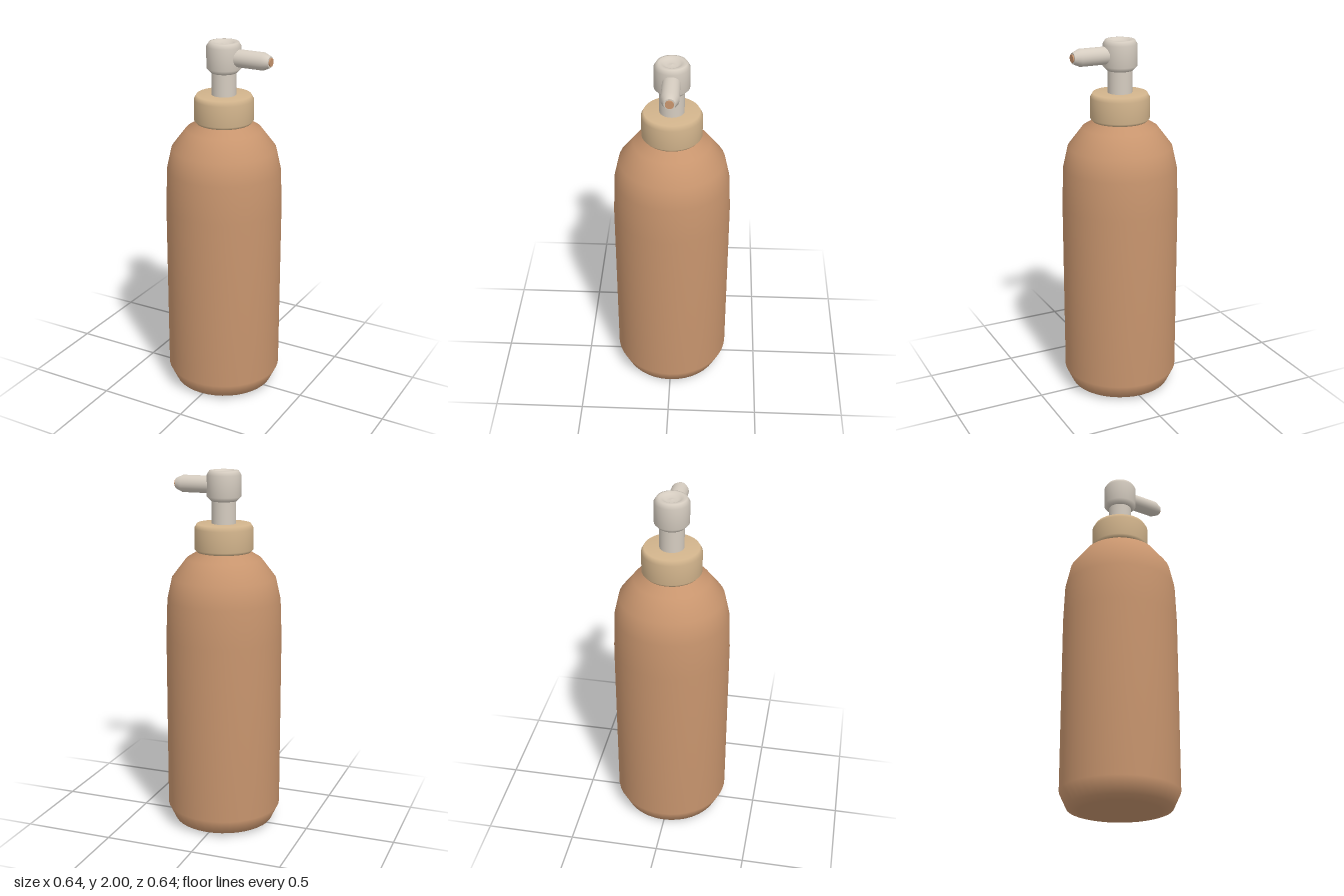
import * as THREE from 'three';

export function createModel() {
  const group = new THREE.Group();
  const mat = (name, color) => {
    const m = new THREE.MeshStandardMaterial({ color });
    m.name = name;
    return m;
  };
  const terracotta = mat('terracotta', 0xc8956e);
  const tan = mat('tan', 0xd2b48c);
  const ivory = mat('ivory', 0xd5ccc0);

  // Turned part from [radius, height] points, bottom to top
  const turned = (name, points, material, segments = 40) => {
    const profile = points.map(([r, y]) => new THREE.Vector2(r, y));
    const mesh = new THREE.Mesh(new THREE.LatheGeometry(profile, segments), material);
    mesh.name = name;
    group.add(mesh);
    return mesh;
  };

  // Bottle with rounded base and sloping shoulder
  turned('bottle', [
    [0, 0], [0.22, 0.004], [0.28, 0.02], [0.32, 0.105], [0.32, 1.09],
    [0.312, 1.3], [0.285, 1.42], [0.205, 1.525], [0.14, 1.565], [0.13, 1.6],
  ], terracotta);

  // Screw collar
  turned('collar', [
    [0.12, 1.562], [0.148, 1.562], [0.161, 1.577], [0.161, 1.69], [0.147, 1.715], [0, 1.715],
  ], tan);

  // Pump stem
  turned('stem', [[0.066, 1.7], [0.066, 1.85]], ivory, 32);

  // Pump head with a small finger dish on top
  turned('pumpHead', [
    [0, 1.835], [0.07, 1.836], [0.093, 1.86], [0.093, 1.975], [0.079, 1.998],
    [0.066, 2], [0.05, 1.993], [0.03, 1.982], [0, 1.988],
  ], ivory, 32);

  // Spout pointing to +x, tapered at the end
  const spout = turned('spout', [
    [0.047, 0.05], [0.047, 0.235], [0.03, 0.273], [0.03, 0.273], [0, 0.273],
  ], ivory, 24);

  // Spout opening
  const opening = turned('spoutOpening', [
    [0.022, 0.268], [0.022, 0.28], [0.022, 0.28], [0, 0.28],
  ], terracotta, 24);

  for (const part of [spout, opening]) {
    part.rotation.z = -Math.PI / 2;
    part.position.y = 1.92;
  }
  return group;
}
